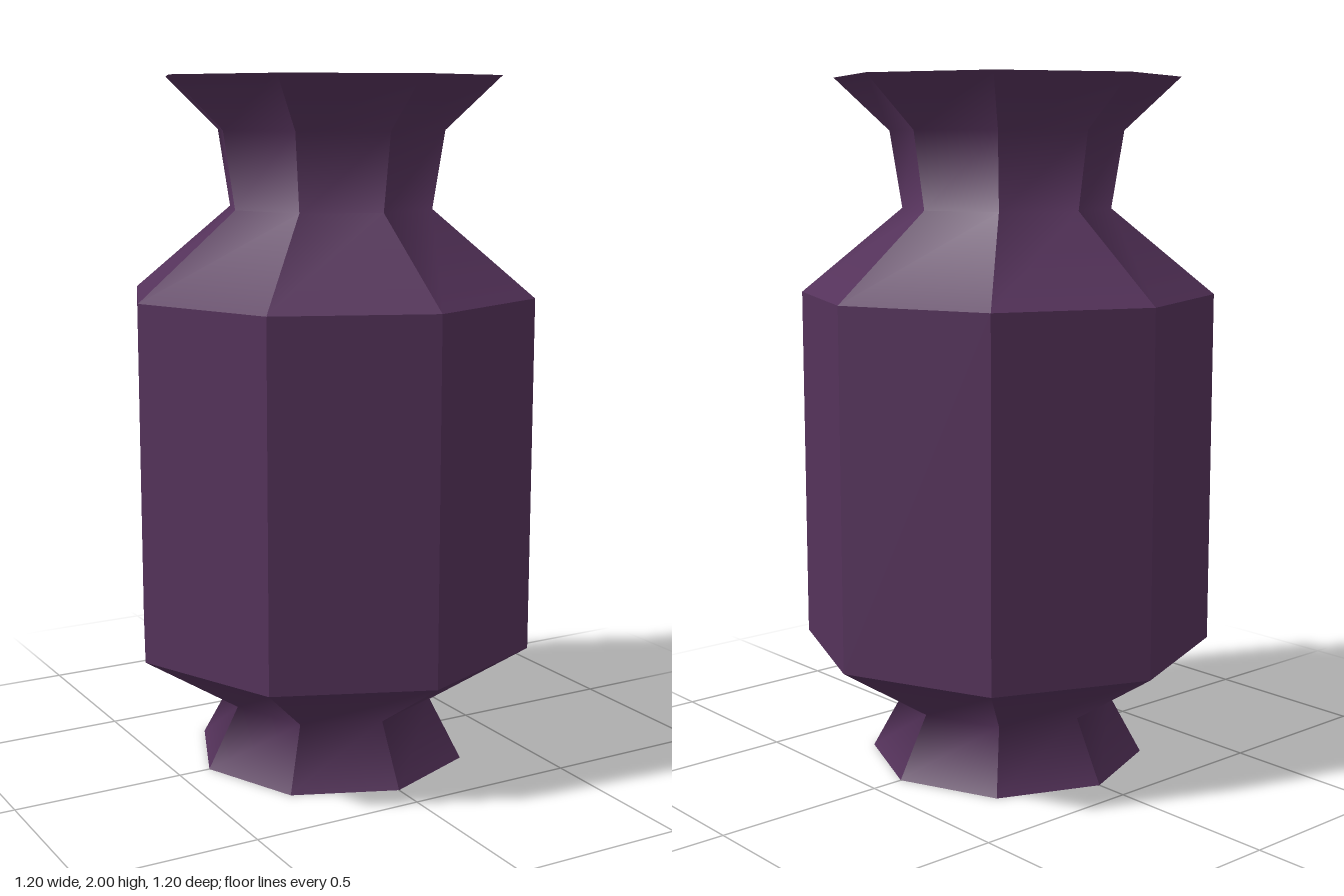
import * as THREE from 'three';
import { mergeGeometries } from 'three/addons/utils/BufferGeometryUtils.js';

const SIDES = 8;

// One facet: smooth along the profile, with sharp edges at its sides
function facet(profile, a0, a1) {
  const positions = [], index = [];
  for (const [r, y] of profile) {
    for (const a of [a0, a1]) positions.push(r * Math.sin(a), y, r * Math.cos(a));
  }
  for (let i = 0; i < profile.length - 1; i++) {
    const k = i * 2;
    index.push(k, k + 1, k + 3, k, k + 3, k + 2);
  }
  const g = new THREE.BufferGeometry();
  g.setAttribute('position', new THREE.Float32BufferAttribute(positions, 3));
  g.setIndex(index);
  g.computeVertexNormals();
  return g;
}

// Octagonal band with corners on the x and z axes
function band(profile) {
  const step = (Math.PI * 2) / SIDES;
  return mergeGeometries(Array.from({ length: SIDES }, (_, i) => facet(profile, i * step, (i + 1) * step)));
}

export function createModel() {
  const vase = new THREE.Group();
  vase.name = 'vase';
  const glaze = new THREE.MeshStandardMaterial({ color: 0x54325a });
  glaze.name = 'plum glaze';

  // [radius, height]: up the outside, over the rim, down the inside
  const parts = {
    foot: [[0.405, 0], [0.31, 0.175], [0.6, 0.36]],
    body: [[0.6, 0.36], [0.6, 1.385]],
    neck: [[0.6, 1.385], [0.302, 1.63], [0.337, 1.85], [0.497, 2]],
    rim: [[0.497, 2], [0.472, 2]],
    neckInside: [[0.472, 2], [0.322, 1.85], [0.299, 1.63], [0.58, 1.375]],
    bodyInside: [[0.58, 1.375], [0.58, 0.37]],
    footInside: [[0.58, 0.37], [0.302, 0.175], [0.39, 0]],
    footRing: [[0.39, 0], [0.405, 0]],
  };
  for (const [name, profile] of Object.entries(parts)) {
    const mesh = new THREE.Mesh(band(profile), glaze);
    mesh.name = name;
    vase.add(mesh);
  }
  return vase;
}
